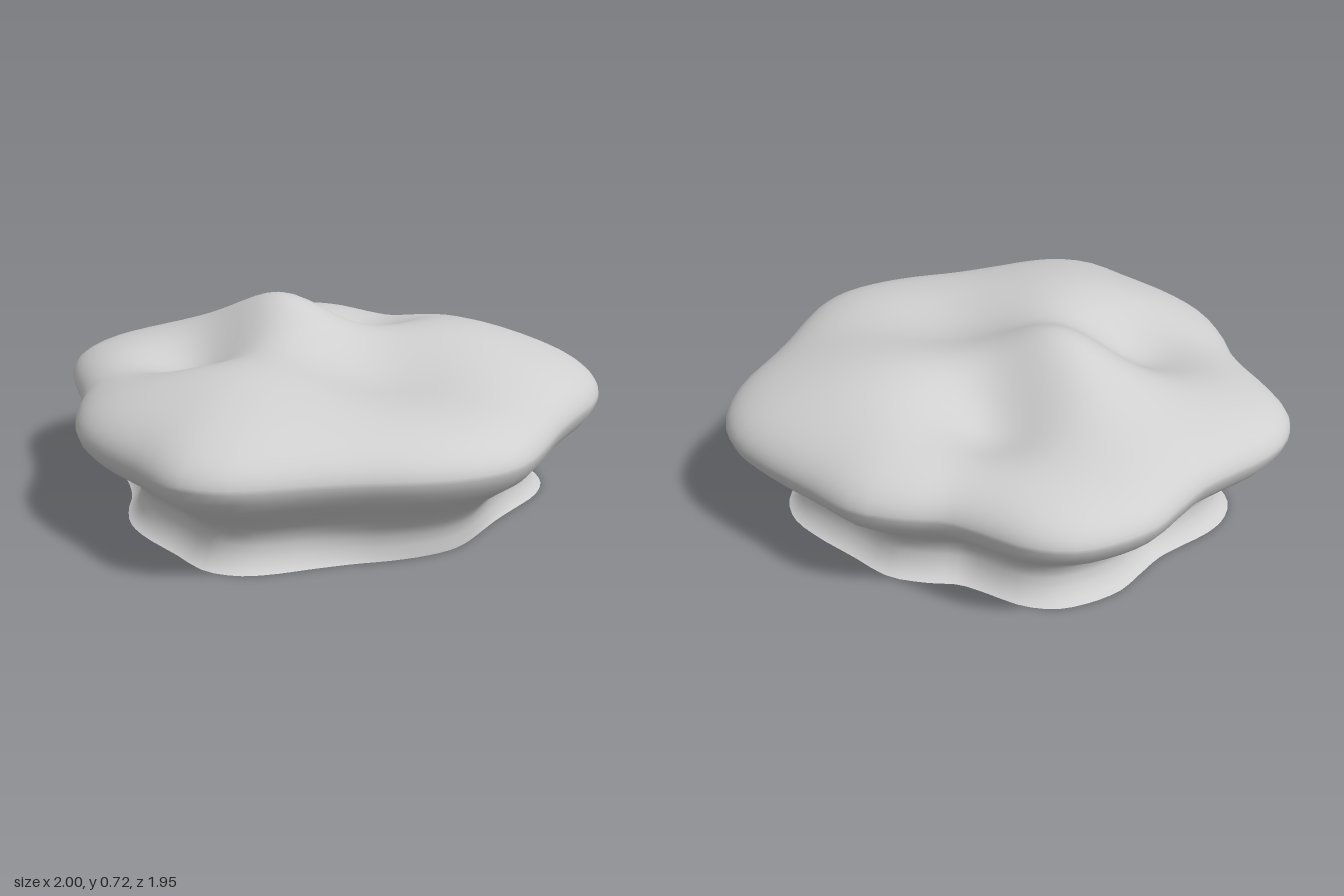
import * as THREE from 'three';

// Widest outline of the rock, as x, z pairs going from +x towards +z
const OUTLINE = [
  1, 0, 0.97, 0.15, 0.9, 0.3, 0.8, 0.45, 0.71, 0.61, 0.63, 0.78, 0.56, 0.88, 0.43, 0.96, 0.2, 0.965,
  -0.05, 0.97, -0.21, 0.94, -0.36, 0.86, -0.48, 0.77, -0.6, 0.71, -0.75, 0.65, -0.89, 0.57, -0.97, 0.44,
  -0.99, 0.3, -0.97, 0.12, -0.96, 0, -0.98, -0.15, -1, -0.3, -0.97, -0.45, -0.9, -0.59, -0.78, -0.68,
  -0.6, -0.73, -0.48, -0.77, -0.37, -0.86, -0.22, -0.945, 0, -0.96, 0.25, -0.975, 0.42, -0.96,
  0.56, -0.89, 0.67, -0.76, 0.75, -0.58, 0.82, -0.43, 0.92, -0.25, 0.98, -0.12,
];

// Sides, from the ground up: height, scale, and how much the +x lobe is blunted
const SIDES = [
  [0, 0.81, 0.11], [0.015, 0.785, 0.08], [0.05, 0.765, 0.055], [0.09, 0.755, 0.035], [0.13, 0.76, 0.01],
  [0.165, 0.785, 0], [0.2, 0.825, 0], [0.24, 0.88, 0], [0.29, 0.95, 0], [0.33, 0.985, 0], [0.37, 1, 0],
];

// Bumps and hollows of the top: x, z, width, height
const BUMPS = [
  [-0.26, 0, 0.19, 0.155], [-0.52, 0, 0.2, 0.045],
  [0.12, 0.45, 0.3, 0.08], [0.12, -0.45, 0.3, 0.08],
  [-0.3, 0.37, 0.16, -0.11], [-0.3, -0.37, 0.16, -0.11],
  [0.3, 0, 0.21, -0.055],
];

const topHeight = (x, z) => BUMPS.reduce(
  (y, [bx, bz, w, h]) => y + h * Math.exp(-((x - bx) ** 2 + (z - bz) ** 2) / (2 * w * w)), 0.54);

function outlinePoints(count) {
  const points = [];
  for (let i = 0; i < OUTLINE.length; i += 2) points.push(new THREE.Vector3(OUTLINE[i], 0, OUTLINE[i + 1]));
  return new THREE.CatmullRomCurve3(points, true).getPoints(count).slice(0, count);
}

function geometryFrom(positions, indices) {
  const geometry = new THREE.BufferGeometry();
  geometry.setAttribute('position', new THREE.Float32BufferAttribute(positions, 3));
  geometry.setIndex(indices);
  geometry.computeVertexNormals();
  return geometry;
}

export function createModel() {
  const group = new THREE.Group();
  group.name = 'rock';
  const stone = new THREE.MeshStandardMaterial({ color: 0xd0d0d0 });
  stone.name = 'grey stone';

  const count = 96;
  const outline = outlinePoints(count);
  const positions = [];

  // Flared foot, waist and overhanging side
  for (const [y, scale, blunt] of SIDES) {
    for (const p of outline) {
      const k = scale * (1 - blunt * Math.max(0, p.x / p.length()) ** 4);
      positions.push(p.x * k, y, p.z * k);
    }
  }

  // Rounded rim running into the uneven top
  const topRings = 28;
  for (let i = 1; i <= topRings; i++) {
    const s = Math.cos((i / topRings) * Math.PI / 2);
    const rise = Math.sqrt(1 - s ** 5);
    for (const p of outline) {
      const x = p.x * s, z = p.z * s;
      positions.push(x, THREE.MathUtils.lerp(0.37, topHeight(x, z), rise), z);
    }
  }

  const rings = SIDES.length + topRings;
  const indices = [];
  for (let i = 0; i < rings - 1; i++) {
    for (let j = 0; j < count; j++) {
      const a = i * count + j, b = i * count + (j + 1) % count;
      indices.push(a, a + count, b);
      if (i < rings - 2) indices.push(b, a + count, b + count);
    }
  }
  const body = new THREE.Mesh(geometryFrom(positions, indices), stone);
  body.name = 'rockBody';
  group.add(body);

  // Flat underside
  const base = [0, 0, 0, ...positions.slice(0, count * 3)];
  const fan = [];
  for (let j = 0; j < count; j++) fan.push(0, 1 + j, 1 + (j + 1) % count);
  const underside = new THREE.Mesh(geometryFrom(base, fan), stone);
  underside.name = 'underside';
  group.add(underside);

  return group;
}
